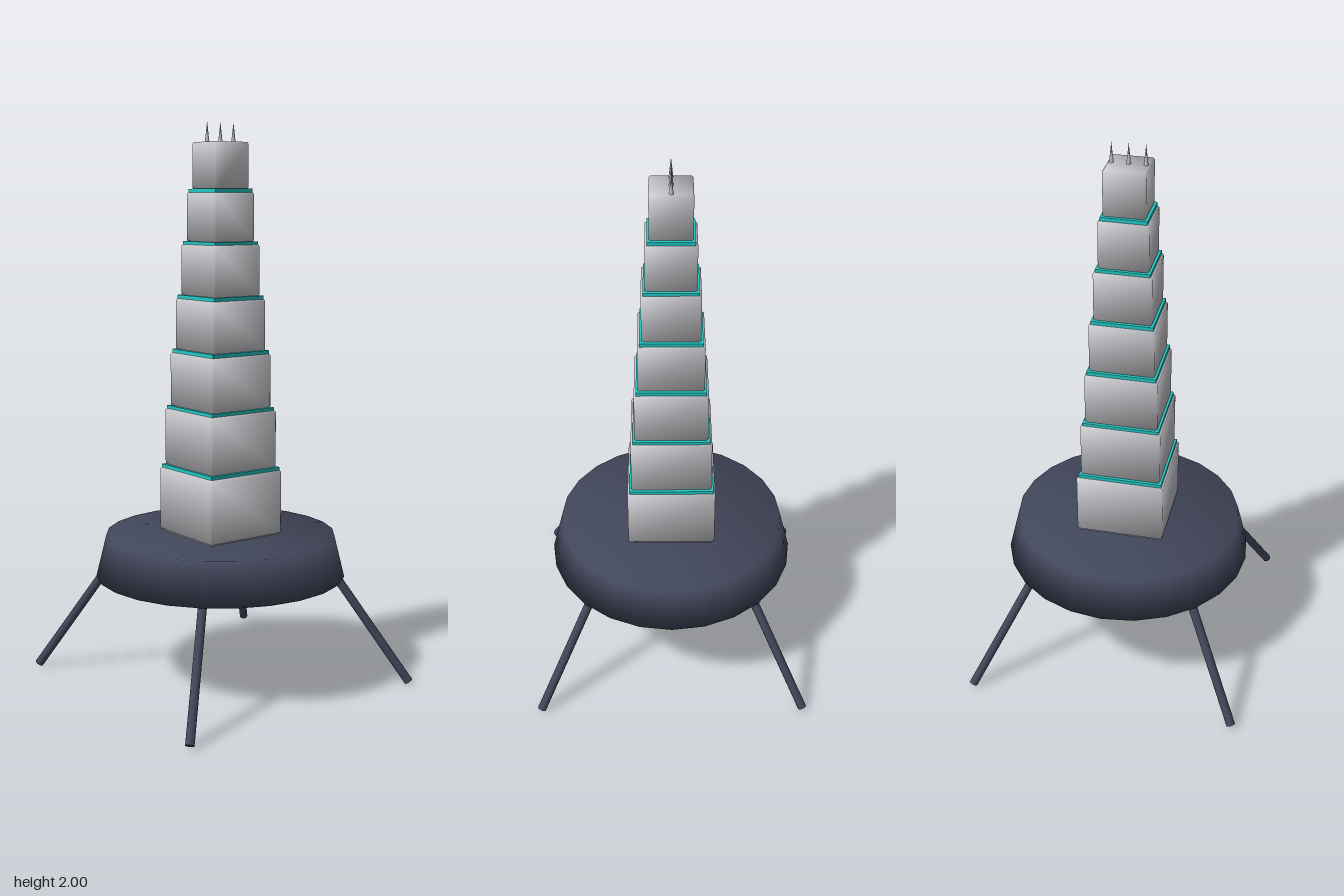
import * as THREE from 'three';
import { mergeVertices } from 'three/addons/utils/BufferGeometryUtils.js';
import { ConvexGeometry } from 'three/addons/geometries/ConvexGeometry.js';

const material = (name, color) => {
  const m = new THREE.MeshStandardMaterial({ color });
  m.name = name;
  return m;
};

// Weld all corners so the shading runs smoothly over the edges
function soften(geometry) {
  geometry.deleteAttribute('normal');
  geometry.deleteAttribute('uv');
  const welded = mergeVertices(geometry, 1e-5);
  welded.computeVertexNormals();
  return welded;
}

// Box with narrow chamfers and soft, pillow-like normals
function chamferBox(half, height, chamfer) {
  const size = [half, height / 2, half];
  const points = [];
  for (const sx of [-1, 1]) for (const sy of [-1, 1]) for (const sz of [-1, 1]) {
    for (let axis = 0; axis < 3; axis++) {
      const p = [sx, sy, sz].map((s, i) => s * (size[i] - (i === axis ? 0 : chamfer)));
      points.push(new THREE.Vector3(...p));
    }
  }
  const geometry = soften(new ConvexGeometry(points));
  const { position, normal } = geometry.attributes;
  const n = new THREE.Vector3();
  for (let i = 0; i < position.count; i++) {
    const p = [position.getX(i), position.getY(i), position.getZ(i)];
    n.set(...p.map((v, a) => Math.sign(v) * (Math.abs(v) > size[a] - chamfer / 2 ? 1.5 : 1))).normalize();
    normal.setXYZ(i, n.x, n.y, n.z);
  }
  return geometry;
}

export function createModel() {
  const model = new THREE.Group();
  model.name = 'tower';
  const slate = material('slate', 0x41465a);
  const silver = material('silver', 0xc9c9ce);
  const teal = material('teal', 0x22c9c4);

  const add = (name, geometry, mat, x = 0, y = 0, z = 0) => {
    const mesh = new THREE.Mesh(geometry, mat);
    mesh.name = name;
    mesh.position.set(x, y, z);
    model.add(mesh);
    return mesh;
  };

  // Round platform
  add('platform', soften(new THREE.CylinderGeometry(0.413, 0.45, 0.15, 24)), slate, 0, 0.467, 0);

  // Four splayed legs
  const up = new THREE.Vector3(0, 1, 0);
  for (const sx of [-1, 1]) for (const sz of [-1, 1]) {
    const foot = new THREE.Vector3(sx * 0.486, 0.011, sz * 0.486);
    const hip = new THREE.Vector3(sx * 0.288, 0.41, sz * 0.288);
    const axis = hip.clone().sub(foot);
    const leg = add('leg', new THREE.CylinderGeometry(0.016, 0.016, axis.length(), 10), slate);
    leg.position.copy(foot).add(hip).multiplyScalar(0.5);
    leg.quaternion.setFromUnitVectors(up, axis.normalize());
  }

  // Seven shrinking tiers with a glowing band on top of each but the last
  const bottoms = [0.546, 0.785, 1.0, 1.204, 1.397, 1.586, 1.768];
  const tops = [0.775, 0.991, 1.193, 1.386, 1.577, 1.757, 1.93];
  bottoms.forEach((bottom, i) => {
    const half = 0.158 - i * 0.0143;
    const height = tops[i] - bottom;
    add('tier', chamferBox(half, height, 0.006), silver, 0, bottom + height / 2, 0);
    if (i < 6) {
      const gap = bottoms[i + 1] - tops[i] + 0.004;
      const width = 2 * (half - 0.007);
      add('band', new THREE.BoxGeometry(width, gap, width), teal, 0, tops[i] + gap / 2 - 0.002, 0);
    }
  });

  // Plinth joint closing the seam above the platform
  add('joint', new THREE.BoxGeometry(0.3, 0.012, 0.3), silver, 0, 0.545, 0);

  // Three small spires in a row
  for (const x of [-0.057, 0, 0.057]) {
    add('spire', new THREE.ConeGeometry(0.008, 0.072, 8), silver, x, 1.964, 0);
  }
  return model;
}
